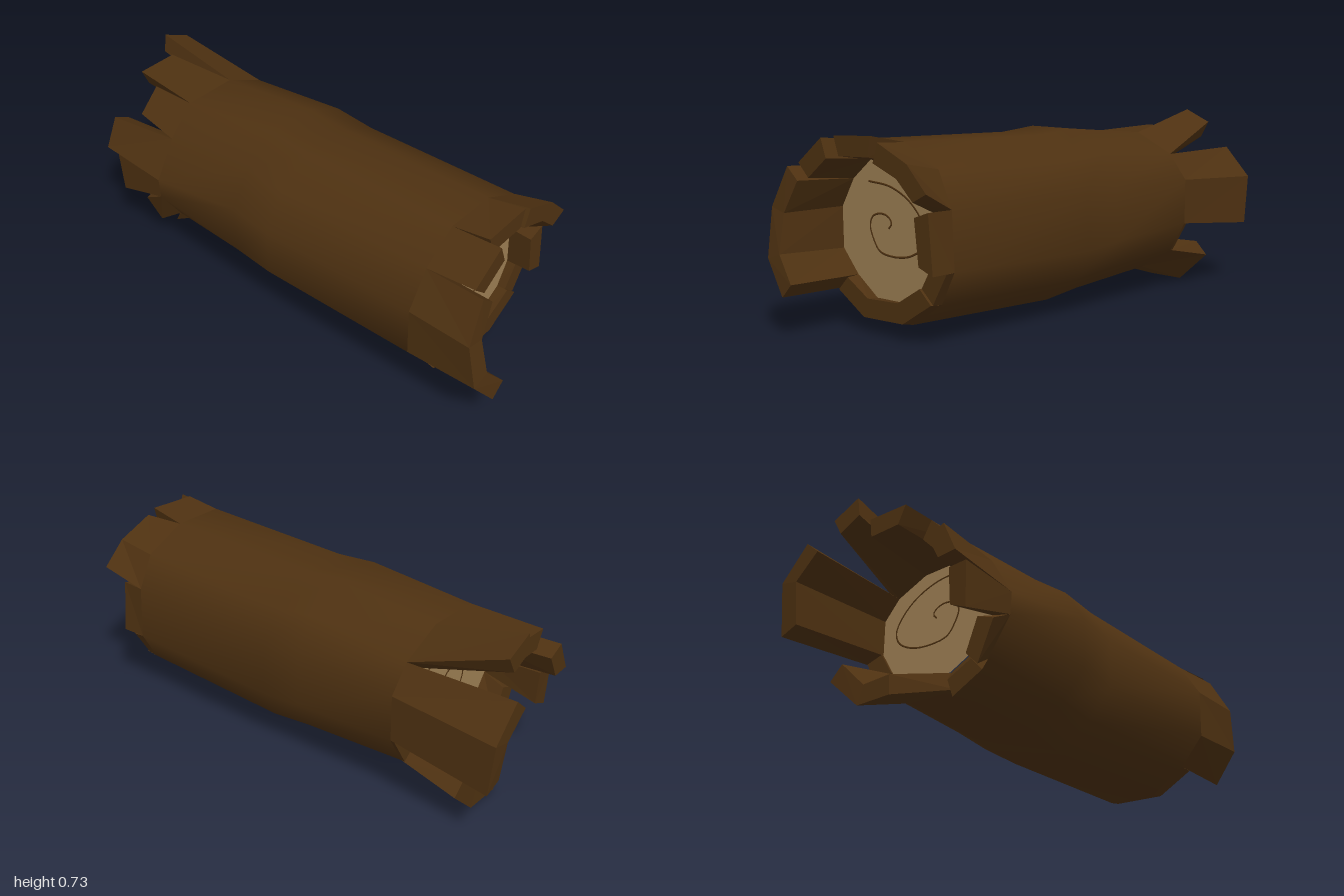
import * as THREE from 'three';

const bark = new THREE.MeshStandardMaterial({ color: 0x4e3111 });
bark.name = 'bark';
const wood = new THREE.MeshStandardMaterial({ color: 0x9c7e53 });
wood.name = 'cut wood';

// Twelve-sided end sections as [y, z], running from the top over the front to the back
const rightRing = [[.69, .13], [.59, .265], [.45, .35], [.255, .345], [.14, .245], [.05, .105],
  [.055, -.11], [.15, -.26], [.27, -.325], [.48, -.315], [.61, -.25], [.69, -.08]];
const leftRing = [[.645, .15], [.53, .26], [.375, .35], [.29, .345], [.15, .25], [.075, .11],
  [.08, -.1], [.17, -.25], [.29, -.32], [.47, -.32], [.57, -.24], [.65, -.07]];
const RIGHT_X = 0.7, LEFT_X = -0.57, AXIS_Y = 0.375, THICK = 0.075;

const place = (ring, x) => ring.map(([y, z]) => [x, y, z]);
const squash = (low, high) => rightRing.map(([y, z]) => [low + (y - .05) / .64 * (high - low), z]);

// Moves a point towards the log's axis by the bark thickness
function inward([x, y, z]) {
  const k = 1 - THICK / Math.hypot(y - AXIS_Y, z);
  return [x, AXIS_Y + (y - AXIS_Y) * k, z * k];
}

// Smooth trunk skin lofted through the sections
function makeTrunk() {
  const rings = [place(leftRing, LEFT_X), place(squash(.05, .69), -.14),
    place(squash(.03, .675), .03), place(rightRing, RIGHT_X)];
  const index = [];
  for (let r = 0; r < rings.length - 1; r++) {
    for (let i = 0; i < 12; i++) {
      const p = r * 12 + i, q = r * 12 + (i + 1) % 12;
      index.push(p, q, p + 12, q, q + 12, p + 12);
    }
  }
  const g = new THREE.BufferGeometry();
  g.setAttribute('position', new THREE.Float32BufferAttribute(rings.flat(2), 3));
  g.setIndex(index);
  g.computeVertexNormals();
  const mesh = new THREE.Mesh(g, bark);
  mesh.name = 'trunk';
  return mesh;
}

// Thick bark shard from consecutive ring corners to its tip corners
function makeShard(ring, start, tips, flip) {
  const base = tips.map((_, i) => ring[(start + i) % 12]);
  const baseIn = base.map(inward), tipsIn = tips.map(inward);
  const pos = [];
  const quad = (a, b, c, d) => {
    const order = flip ? [a, c, b, a, d, c] : [a, b, c, a, c, d];
    order.forEach((p) => pos.push(...p));
  };
  const n = tips.length - 1;
  for (let i = 0; i < n; i++) {
    quad(base[i], base[i + 1], tips[i + 1], tips[i]);
    quad(baseIn[i], tipsIn[i], tipsIn[i + 1], baseIn[i + 1]);
    quad(tips[i], tips[i + 1], tipsIn[i + 1], tipsIn[i]);
  }
  quad(base[0], tips[0], tipsIn[0], baseIn[0]);
  quad(base[n], baseIn[n], tipsIn[n], tips[n]);
  const g = new THREE.BufferGeometry();
  g.setAttribute('position', new THREE.Float32BufferAttribute(pos, 3));
  g.computeVertexNormals();
  const mesh = new THREE.Mesh(g, bark);
  mesh.name = 'barkShard';
  return mesh;
}

// Cut face with a thin spiral growth ring
const spiralPoints = [[.38, .012], [.4, -.005], [.42, .01], [.43, .05], [.415, .1], [.38, .115],
  [.33, .095], [.295, .065], [.283, 0], [.295, -.1], [.335, -.17], [.38, -.187], [.43, -.165],
  [.49, -.1], [.53, 0], [.54, .12]];

function makeCap(ring, x, dir) {
  const group = new THREE.Group();
  group.name = 'cutEnd';
  const pos = [];
  const inner = ring.map(inward).map(([, y, z]) => [x, y, z]);
  inner.forEach((p, i) => {
    const q = inner[(i + 1) % 12], c = [x, AXIS_Y, 0];
    pos.push(...c, ...(dir > 0 ? [...p, ...q] : [...q, ...p]));
  });
  const g = new THREE.BufferGeometry();
  g.setAttribute('position', new THREE.Float32BufferAttribute(pos, 3));
  g.computeVertexNormals();
  const face = new THREE.Mesh(g, wood);
  face.name = 'cutFace';

  const curve = new THREE.CatmullRomCurve3(spiralPoints.map(([y, z]) => new THREE.Vector3(0, y, z)));
  const spiral = new THREE.Mesh(new THREE.TubeGeometry(curve, 90, 0.004, 5), bark);
  spiral.scale.x = 0.4;
  spiral.position.x = x;
  spiral.name = 'growthRing';
  group.add(face, spiral);
  return group;
}

// Shards: first ring corner, then tip corners as [x, y, z]
const rightShards = [
  [0, [.9, .705, .13], [.9, .61, .265]],
  [1, [.94, .6, .275], [.955, .45, .355], [.985, .27, .345], [1, .145, .24]],
  [4, [.75, .135, .25], [.75, .055, .105], [.75, .065, -.11], [.75, .155, -.26]],
  [7, [.74, .155, -.26], [.74, .27, -.33]],
  [8, [.8, .27, -.33], [.8, .48, -.31]],
  [9, [.85, .55, -.36], [.85, .64, -.265], [.85, .7, -.115]],
  [11, [.85, .72, -.08], [.85, .71, .125]],
];
const leftShards = [
  [0, [-.77, .64, .15], [-.77, .55, .24]],
  [1, [-.87, .52, .3], [-.87, .4, .355]],
  [2, [-.81, .39, .35], [-.8, .22, .345]],
  [3, [-.66, .24, .345], [-.66, .09, .28]],
  [4, [-.6, .1, .25], [-.6, .035, .12]],
  [5, [-.8, 0, .02], [-.8, 0, -.13], [-.81, .12, -.26]],
  [7, [-.585, .17, -.25], [-.585, .29, -.32]],
  [8, [-.98, .25, -.335], [-1, .45, -.335], [-1, .57, -.22]],
  [10, [-.93, .68, -.17], [-.93, .73, -.055]],
  [11, [-.88, .66, -.04], [-.88, .655, .13]],
];

export function createModel() {
  const log = new THREE.Group();
  log.name = 'brokenLog';
  log.add(makeTrunk());
  const right = place(rightRing, RIGHT_X), left = place(leftRing, LEFT_X);
  for (const [start, ...tips] of rightShards) log.add(makeShard(right, start, tips, false));
  for (const [start, ...tips] of leftShards) log.add(makeShard(left, start, tips, true));
  log.add(makeCap(right, RIGHT_X + .005, 1), makeCap(left, LEFT_X - .005, -1));
  return log;
}
